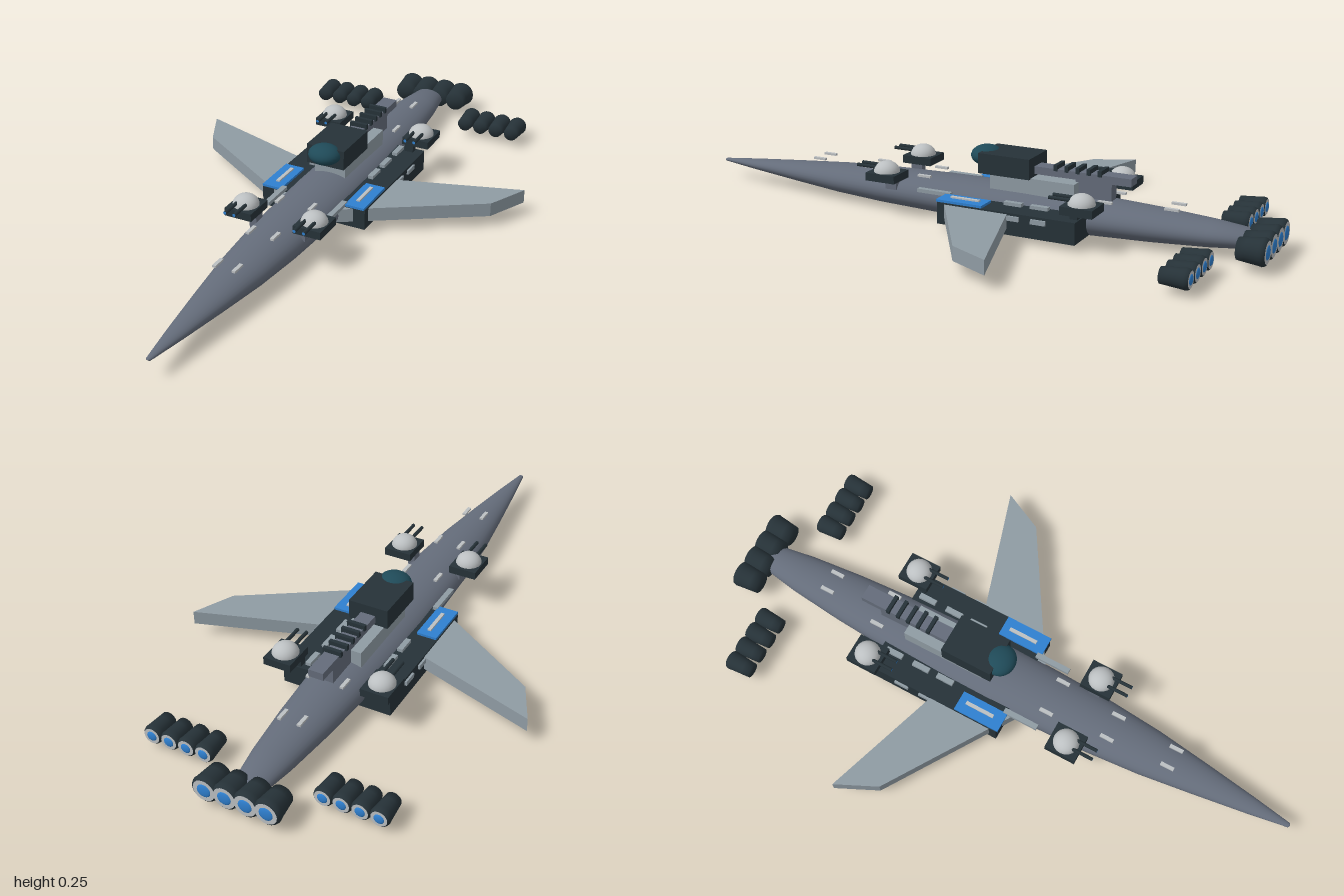
import * as THREE from 'three';

const mat = (name, color, side = THREE.FrontSide) => {
  const m = new THREE.MeshStandardMaterial({ color, side });
  m.name = name;
  return m;
};

export function createModel() {
  const root = new THREE.Group();
  root.name = 'starship';
  const hullGrey = mat('hull grey', 0x646c7a);
  const wingGrey = mat('wing grey', 0x8f9ba3);
  const dark = mat('dark slate', 0x263238, THREE.DoubleSide);
  const teal = mat('canopy teal', 0x1f4a58);
  const blue = mat('glow blue', 0x2f80d0);
  const pale = mat('pale grey', 0xbcc0c2);

  const add = (name, geo, material, x = 0, y = 0, z = 0, parent = root) => {
    const m = new THREE.Mesh(geo, material);
    m.name = name;
    m.position.set(x, y, z);
    parent.add(m);
    return m;
  };
  // box given by its minimum and maximum corners
  const box = (name, material, a, b, parent = root) =>
    add(name, new THREE.BoxGeometry(b[0] - a[0], b[1] - a[1], b[2] - a[2]), material,
      (a[0] + b[0]) / 2, (a[1] + b[1]) / 2, (a[2] + b[2]) / 2, parent);

  // spindle hull: radius along z, flattened vertically
  const profile = [
    [0, -0.96], [0.052, -0.9], [0.068, -0.8], [0.086, -0.62], [0.099, -0.42], [0.106, -0.2],
    [0.107, -0.05], [0.103, 0.12], [0.095, 0.32], [0.08, 0.5], [0.056, 0.68], [0.03, 0.86],
    [0.008, 0.995], [0, 1],
  ].map(([r, z]) => new THREE.Vector2(r, z));
  const hull = new THREE.LatheGeometry(profile, 32);
  hull.rotateX(Math.PI / 2);
  hull.scale(1, 0.6, 1);
  add('hull', hull, hullGrey, 0, 0.065, 0);

  // swept slab wings, the outline drawn in x and z
  for (const s of [1, -1]) {
    const shape = new THREE.Shape(
      [[0.08, 0.08], [0.52, -0.195], [0.585, -0.33], [0.08, -0.17]].map(([x, z]) => new THREE.Vector2(s * x, -z)));
    const wing = new THREE.ExtrudeGeometry(shape, { depth: 0.046, bevelEnabled: false });
    wing.rotateX(-Math.PI / 2);
    add(s > 0 ? 'leftWing' : 'rightWing', wing, wingGrey, 0, 0.042, 0);
  }

  // side pods with blue deck plates and small fittings
  for (const s of [1, -1]) {
    const pod = new THREE.Group();
    pod.name = s > 0 ? 'leftPod' : 'rightPod';
    root.add(pod);
    const sbox = (name, m, a, b) => {
      const [x0, x1] = s > 0 ? [a[0], b[0]] : [-b[0], -a[0]];
      box(name, m, [x0, a[1], a[2]], [x1, b[1], b[2]], pod);
    };
    sbox('podBody', dark, [0.07, 0.022, -0.43], [0.185, 0.093, 0.04]);
    sbox('deckPlate', blue, [0.115, 0.093, -0.115], [0.183, 0.101, 0.045]);
    sbox('deckStrip', pale, [0.14, 0.101, -0.09], [0.152, 0.106, 0.01]);
    for (const z of [-0.38, -0.28, -0.19, 0.06, 0.12])
      sbox('podFitting', wingGrey, [0.1, 0.092, z - 0.03], [0.118, 0.104, z + 0.03]);
    for (const z of [-0.31, -0.22])
      sbox('podSideFitting', wingGrey, [0.183, 0.07, z - 0.025], [0.192, 0.085, z + 0.025]);
  }

  // command tower: pedestal, dark bridge and canopy bubble
  box('towerPedestal', wingGrey, [-0.055, 0.1, -0.37], [0.055, 0.17, -0.08]);
  box('bridge', dark, [-0.067, 0.168, -0.222], [0.067, 0.234, -0.045]);
  const canopy = new THREE.SphereGeometry(1, 24, 16);
  canopy.scale(0.055, 0.033, 0.05);
  add('canopy', canopy, teal, 0, 0.213, -0.042);

  // dorsal rail with cross bars
  box('dorsalRail', hullGrey, [-0.025, 0.178, -0.545], [0.025, 0.203, -0.22]);
  box('railSupport', hullGrey, [-0.02, 0.11, -0.48], [0.02, 0.18, -0.36]);
  for (let i = 0; i < 5; i++) {
    const z = -0.295 - i * 0.037;
    box('railBar', dark, [-0.031, 0.198, z - 0.006], [0.031, 0.217, z + 0.006]);
  }

  // domed turrets with twin guns
  const dome = new THREE.SphereGeometry(0.043, 20, 8, 0, Math.PI * 2, 0, Math.PI / 2);
  dome.scale(1, 0.85, 1);
  const barrel = new THREE.CylinderGeometry(0.006, 0.006, 0.085, 8).rotateX(Math.PI / 2);
  const muzzle = new THREE.CircleGeometry(0.0055, 8);
  for (const [x, z] of [[0.12, 0.26], [-0.12, 0.26], [0.166, -0.443], [-0.166, -0.443]]) {
    const t = new THREE.Group();
    t.name = 'turret';
    t.position.set(x, 0.122, z);
    root.add(t);
    box('turretBase', dark, [-0.047, 0, -0.053], [0.047, 0.026, 0.053], t);
    add('turretDome', dome, pale, 0, 0.024, 0, t);
    for (const s of [-1, 1]) {
      add('gunBarrel', barrel, dark, s * 0.016, 0.04, 0.058, t);
      add('muzzle', muzzle, blue, s * 0.016, 0.04, 0.1015, t);
    }
  }
  // struts carrying the turrets
  for (const s of [-1, 1]) {
    box('frontTurretStrut', hullGrey, [s * 0.085 - 0.012, 0.08, 0.24], [s * 0.085 + 0.012, 0.123, 0.28]);
    box('rearTurretStrut', dark, [s * 0.14 - 0.015, 0.085, -0.425], [s * 0.14 + 0.015, 0.123, -0.4]);
  }

  // small paired plates along the spine
  for (const [z, x] of [[-0.68, 0.033], [-0.475, 0.058], [0.155, 0.058], [0.365, 0.042], [0.575, 0.033]])
    for (const s of [-1, 1])
      box('spinePlate', pale, [s * x - 0.006, 0.126, z - 0.023], [s * x + 0.006, 0.133, z + 0.023]);

  // engine bells opening to the rear, local -z is the exhaust
  const v = (r, z) => new THREE.Vector2(r, z);
  const bell = new THREE.LatheGeometry(
    [v(0, 0.5), v(0.78, 0.5), v(0.85, 0.2), v(0.95, -0.25), v(1, -0.36), v(0.92, -0.46), v(0.8, -0.5)].reverse(), 20);
  bell.rotateX(Math.PI / 2);
  const ring = new THREE.RingGeometry(0.5, 0.81, 20).rotateY(Math.PI);
  const glow = new THREE.SphereGeometry(0.52, 16, 6, 0, Math.PI * 2, 0, Math.PI / 2);
  glow.rotateX(-Math.PI / 2);
  glow.scale(1, 1, 0.12);
  const engine = (x, y, z, r, len) => {
    const g = new THREE.Group();
    g.name = 'engine';
    g.position.set(x, y, z);
    g.scale.set(r, r, len);
    root.add(g);
    add('engineBell', bell, dark, 0, 0, 0, g);
    add('nozzleRing', ring, pale, 0, 0, -0.5, g);
    add('engineGlow', glow, blue, 0, 0, -0.49, g);
  };
  for (let i = 0; i < 4; i++) {
    engine((i - 1.5) * 0.067, 0.065, -0.952, 0.044, 0.088);
    for (const s of [-1, 1]) engine(s * (0.197 + i * 0.059), 0.05, -0.815, 0.032, 0.088);
  }
  return root;
}
